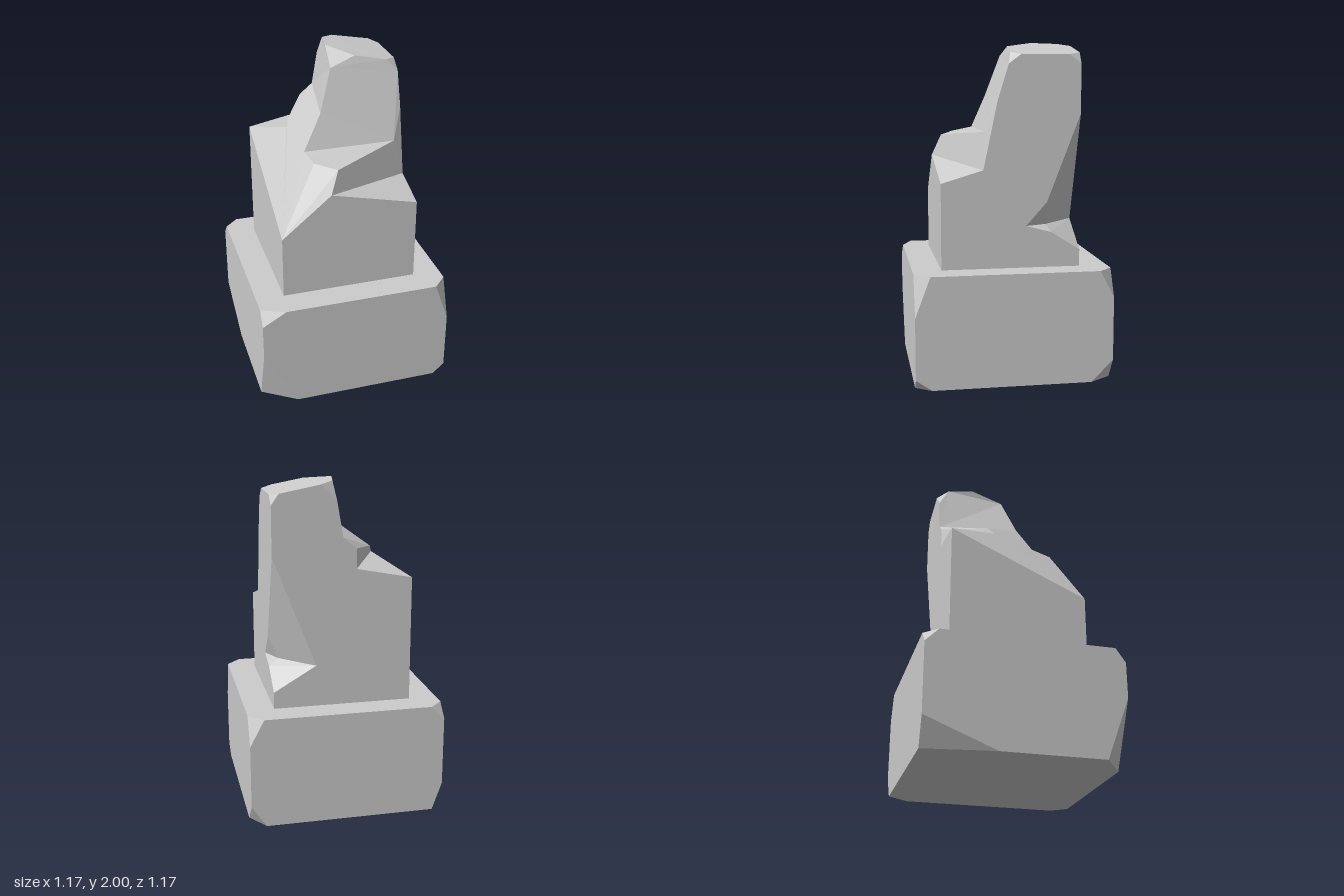
import * as THREE from 'three';
import { ConvexGeometry } from 'three/addons/geometries/ConvexGeometry.js';

const stone = new THREE.MeshStandardMaterial({ color: 0xcccccc, flatShading: true });

// Block whose corners are each sliced off by a [dx, dy, dz] chip.
function chippedBlock(half, height, chips) {
  const points = [];
  for (const [sx, top, sz, dx, dy, dz] of chips) {
    const x = sx * half, y = top * height, z = sz * half;
    points.push(
      new THREE.Vector3(x - sx * dx, y, z),
      new THREE.Vector3(x, top ? y - dy : dy, z),
      new THREE.Vector3(x, y, z - sz * dz)
    );
  }
  return new ConvexGeometry(points);
}

// Closed faceted solid from named corners; every face runs counter-clockwise seen from outside.
function facetedSolid(corners, faces) {
  const positions = [];
  for (const face of faces) {
    const pts = face.split(' ').map((k) => new THREE.Vector3(...corners[k]));
    const normal = new THREE.Vector3();
    pts.forEach((p, i) => normal.add(p.clone().cross(pts[(i + 1) % pts.length])));
    normal.normalize();
    const u = pts[1].clone().sub(pts[0]);
    u.addScaledVector(normal, -u.dot(normal)).normalize();
    const v = normal.clone().cross(u);
    const flat = pts.map((p) => new THREE.Vector2(p.dot(u), p.dot(v)));
    for (const tri of THREE.ShapeUtils.triangulateShape(flat, [])) {
      for (const i of tri) positions.push(...pts[i].toArray());
    }
  }
  const geometry = new THREE.BufferGeometry();
  geometry.setAttribute('position', new THREE.Float32BufferAttribute(positions, 3));
  geometry.computeVertexNormals();
  return geometry;
}

export function createModel() {
  const group = new THREE.Group();
  group.name = 'brokenPillar';
  const add = (name, geometry) => {
    const mesh = new THREE.Mesh(geometry, stone);
    mesh.name = name;
    group.add(mesh);
  };

  // Plinth: side x, top?, side z, then the chip sizes
  const plinthHeight = 0.67;
  add('plinth', chippedBlock(0.585, plinthHeight, [
    [-1, 1, 1, 0.145, 0.085, 0.06],
    [1, 1, 1, 0.085, 0.24, 0.09],
    [1, 1, -1, 0.085, 0.16, 0.083],
    [-1, 1, -1, 0.08, 0.08, 0.08],
    [-1, 0, 1, 0.205, 0.37, 0.136],
    [1, 0, 1, 0.07, 0.065, 0.095],
    [1, 0, -1, 0.09, 0.13, 0.13],
    [-1, 0, -1, 0.06, 0.17, 0.42]
  ]));

  // Broken shaft
  const w = 0.415, h = plinthHeight;
  const foot = {
    frontLeft: [-w, h, w], frontRight: [w, h, w], backRight: [w, h, -w], backLeft: [-w, h, -w]
  };
  const crown = {
    p1: [0.02, 2, -0.19], p2: [0.155, 1.975, -0.02], p3: [0.35, 1.937, -0.005], p4: [w, 1.925, -0.06],
    p5: [w, 1.925, -0.345], p6: [0.37, 1.935, -w], p7: [0.13, 1.98, -w], p8: [0.05, 1.994, -0.35],
    q: [w, 1.87, -w], r: [w, 1.87, 0.015], s: [0.035, 1.88, -w],
    t: [0, 1.92, 0], u: [-0.085, 1.676, 0.08], v: [0, 1.676, -w]
  };
  const fracture = {
    c1: [-w, 1.425, -w], c2: [-w, 1.055, w], c3: [w, 1.18, w],
    g: [-0.205, 1.475, 0.15], hh: [-0.18, 1.452, 0.275], i: [-0.06, 1.435, 0.362], j: [-0.115, 1.305, w],
    k: [w, 1.255, 0.165], l: [0.355, 1.475, 0.15], m: [w, 1.66, 0.08],
    w1: [-0.245, 1.53, -0.11], w2: [-0.23, 1.57, -0.14], x: [-0.08, 1.61, -w], y: [-0.08, 1.49, -w]
  };
  const notch = {
    n1: [w, 1.58, -w], n2: [w, 1.06, -0.215], n3: [w, 0.92, -0.09], n4: [w, 0.88, -0.24],
    n5: [w, 0.77, -w], n6: [0.16, 0.92, -w], n7: [0.356, 0.92, -0.22]
  };
  add('brokenShaft', facetedSolid({ ...foot, ...crown, ...fracture, ...notch }, [
    // four upright sides
    'frontLeft frontRight c3 j c2',
    'frontRight backRight n5 n4 n3 n2 n1 q p5 p4 r m k c3',
    'backRight backLeft c1 y x v s p7 p6 q n1 n6 n5',
    'backLeft frontLeft c2 c1',
    // top and its chipped corners
    'p1 p2 p3 p4 p5 p6 p7 p8', 'p5 q p6', 'p3 r p4', 'p7 s p8', 't p2 p1', 't p1 p8 s v u',
    // sloping break and ledges at the front
    't u g l m r p3 p2', 'g hh i l', 'i j k m l', 'j c3 k', 'c2 j i hh',
    // sloping break and step at the side
    'c1 c2 hh g u w2 w1', 'v x w2 u', 'y w1 w2 x', 'y c1 w1',
    // notch in the back edge
    'n1 n2 n7 n6', 'n2 n3 n7', 'n3 n4 n5 n6 n7'
  ]));

  return group;
}
